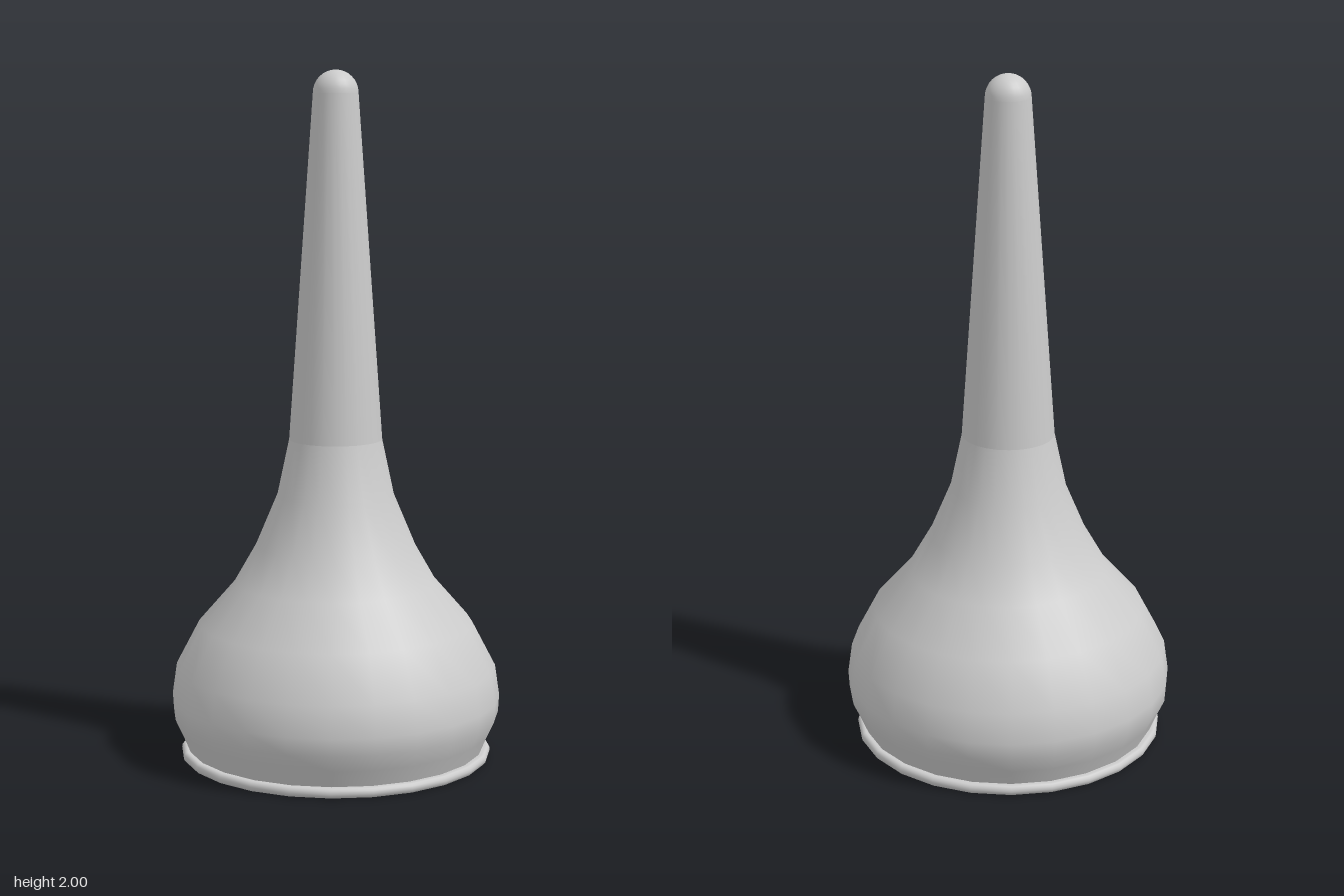
import * as THREE from 'three';

const SEGMENTS = 24;

function lathe(name, profile, material, segments = SEGMENTS) {
  const points = profile.map(([r, y]) => new THREE.Vector2(r, y));
  const mesh = new THREE.Mesh(new THREE.LatheGeometry(points, segments), material);
  mesh.name = name;
  return mesh;
}

export function createModel() {
  const group = new THREE.Group();
  group.name = 'flaredHorn';
  const shell = new THREE.MeshStandardMaterial({ color: 0xcccccc, side: THREE.DoubleSide });

  // Hollow bulb sweeping up into the neck, open at the bottom
  group.add(lathe('bulb', [
    [0.43, 0.02], [0.455, 0.08], [0.478, 0.13], [0.481, 0.18], [0.468, 0.27],
    [0.4, 0.4], [0.295, 0.52], [0.232, 0.63], [0.169, 0.78], [0.135, 0.94],
  ], shell));

  // Long tapering neck
  group.add(lathe('neck', [[0.135, 0.94], [0.065, 1.935]], shell));

  // Rounded tip
  const tip = [];
  for (let i = 0; i <= 8; i++) {
    const a = (i / 8) * Math.PI / 2;
    tip.push([0.065 * Math.cos(a), 1.935 + 0.065 * Math.sin(a)]);
  }
  group.add(lathe('tip', tip, shell));

  // Flat base ring with a rounded outer edge
  const rim = [[0.365, 0], [0.442, 0]];
  for (let i = 0; i <= 6; i++) {
    const a = -Math.PI / 2 + (i / 6) * Math.PI;
    rim.push([0.442 + 0.013 * Math.cos(a), 0.015 + 0.015 * Math.sin(a)]);
  }
  rim.push([0.365, 0.03], [0.365, 0]);
  group.add(lathe('baseRing', rim, shell));

  return group;
}
